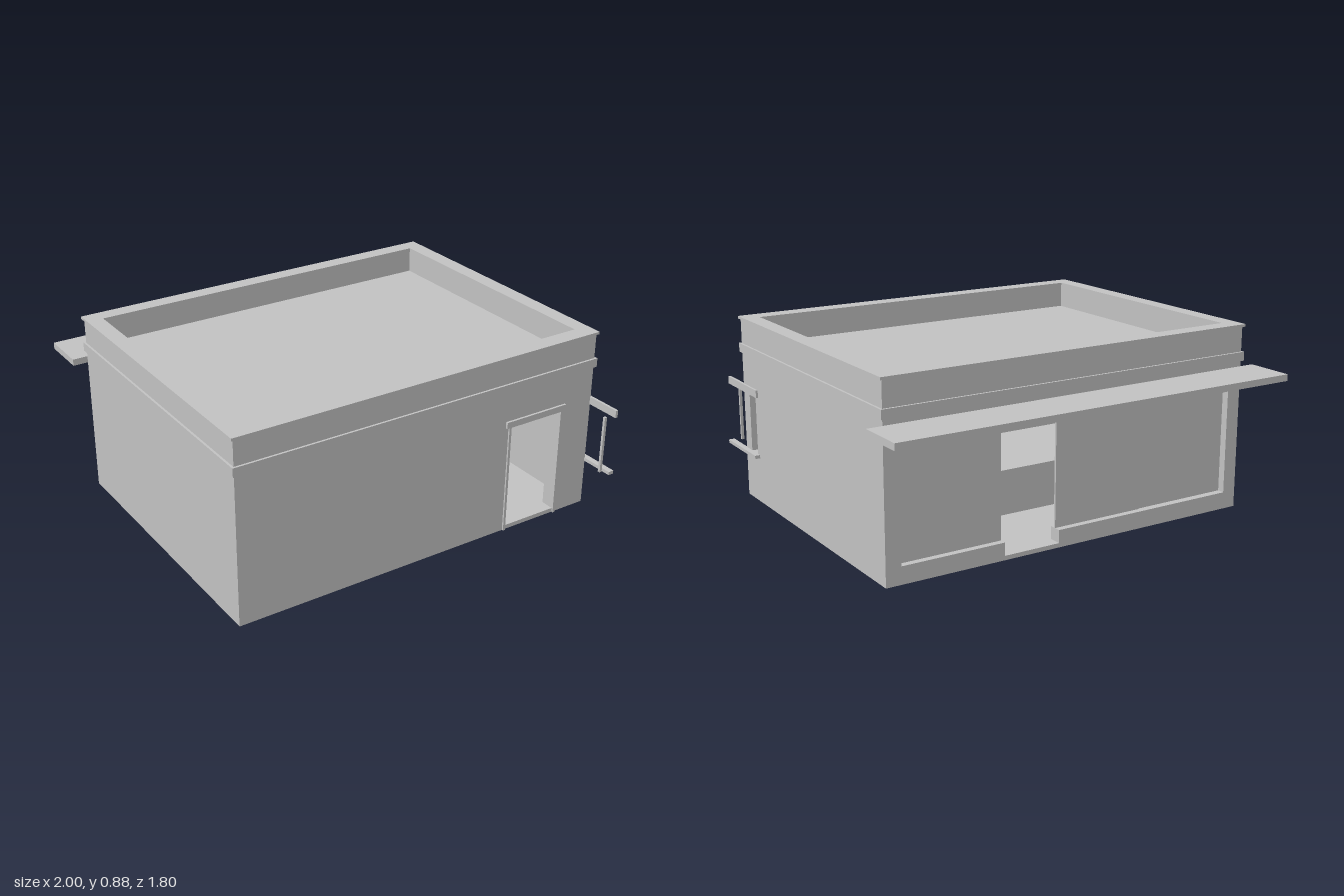
import * as THREE from 'three';

export function createModel() {
  const model = new THREE.Group();
  model.name = 'smallShopBuilding';
  const grey = new THREE.MeshStandardMaterial({ color: 0xc4c4c4 });
  grey.name = 'plainGrey';

  const add = (name, geometry) => {
    const mesh = new THREE.Mesh(geometry, grey);
    mesh.name = name;
    model.add(mesh);
    return mesh;
  };
  // Box given by its limits on each axis
  const box = (name, x0, x1, y0, y1, z0, z1) =>
    add(name, new THREE.BoxGeometry(x1 - x0, y1 - y0, z1 - z0))
      .position.set((x0 + x1) / 2, (y0 + y1) / 2, (z0 + z1) / 2);
  const outline = (pts, Type = THREE.Shape) => new Type(pts.map(p => new THREE.Vector2(...p)));
  const rect = (a0, a1, b0, b1, Type) => outline([[a0, b0], [a1, b0], [a1, b1], [a0, b1]], Type);
  const extrude = (shape, depth) => new THREE.ExtrudeGeometry(shape, { depth, bevelEnabled: false });

  const X = 0.928, XI = 0.865, TOP = 0.868;
  const ZB = -0.67, ZBI = -0.61, ZF = 0.73, ZFI = 0.665;

  // Floor and sunken flat roof
  box('floor', -X, X, 0, 0.02, ZB, ZF);
  box('roof', -XI, XI, 0.7, 0.75, ZBI, ZFI);

  // Front wall with doorway
  const front = outline([
    [-X, 0.02], [0.46, 0.02], [0.46, 0.53], [0.745, 0.53], [0.745, 0.02],
    [X, 0.02], [X, TOP], [-X, TOP],
  ]);
  add('frontWall', extrude(front, ZF - ZFI)).position.z = ZFI;

  // Back wall with a wide shop window and a doorway cut through its sill
  const back = outline([
    [-X, 0.02], [0.08, 0.02], [0.08, 0.08], [-0.86, 0.08], [-0.86, 0.63],
    [0.855, 0.63], [0.855, 0.08], [0.36, 0.08], [0.36, 0.02], [X, 0.02],
    [X, TOP], [-X, TOP],
  ]);
  add('backWall', extrude(back, ZBI - ZB)).position.z = ZB;

  // Side walls; the +x one is notched for the corner window
  const sideWall = (name, points, outerX) => {
    const wall = add(name, extrude(outline(points), X - XI));
    wall.rotation.y = -Math.PI / 2;
    wall.position.x = outerX;
  };
  sideWall('leftWall', [
    [ZBI, 0.02], [ZFI, 0.02], [ZFI, 0.235], [0.595, 0.235], [0.595, 0.515],
    [ZFI, 0.515], [ZFI, TOP], [ZBI, TOP],
  ], X);
  sideWall('rightWall', [[ZBI, 0.02], [ZFI, 0.02], [ZFI, TOP], [ZBI, TOP]], -XI);

  // Horizontal rings round the walls: string course and parapet cap
  const ring = (name, x, z0, z1, xi, zi0, zi1, y0, y1) => {
    const shape = rect(-x, x, -z1, -z0);
    shape.holes.push(rect(-xi, xi, -zi1, -zi0, THREE.Path));
    const mesh = add(name, extrude(shape, y1 - y0));
    mesh.rotation.x = -Math.PI / 2;
    mesh.position.y = y0;
  };
  ring('stringCourse', 0.938, -0.68, 0.74, 0.9, -0.64, 0.7, 0.705, 0.747);
  ring('parapetCap', 0.938, -0.68, 0.738, 0.862, -0.604, 0.657, 0.864, 0.876);

  // Canopy above the shop window
  box('canopy', -1, 1, 0.647, 0.678, -0.9, ZB);

  // Shop window panels set back in the opening
  [[0.36, 0.855, -0.64], [-0.38, 0.08, -0.64], [-0.86, -0.38, -0.635]].forEach(([a, b, z]) =>
    box('windowPanel', a, b, 0.08, 0.63, z, z + 0.01));

  // Front door trim
  for (const x of [0.447, 0.745]) box('doorJamb', x, x + 0.012, 0, 0.53, ZF - 0.01, 0.738);
  box('doorHeader', 0.432, 0.77, 0.53, 0.56, ZF - 0.01, 0.741);

  // Corner window trim running past the front corner
  box('windowLintel', 0.925, 0.938, 0.516, 0.552, 0.565, 0.9);
  box('windowSill', 0.925, 0.953, 0.22, 0.236, 0.572, 0.895);
  for (const z of [0.594, 0.862]) box('windowPost', 0.887, 0.9, 0.236, 0.516, z, z + 0.012);

  // Low counter block in the middle of the room
  box('counter', -0.78, 0.78, 0.02, 0.235, -0.24, 0.275);

  return model;
}
